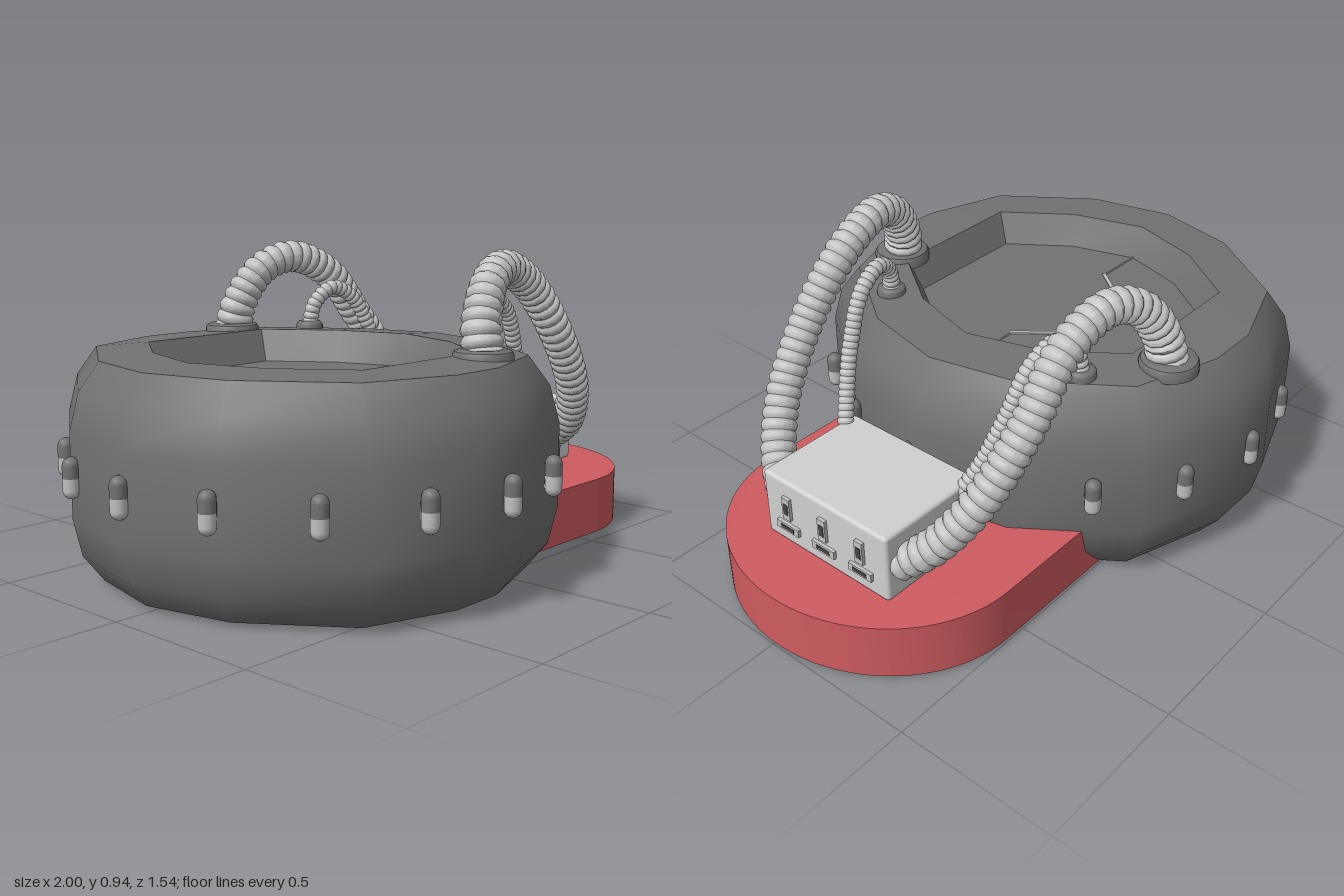
import * as THREE from 'three';
import { toCreasedNormals } from 'three/addons/utils/BufferGeometryUtils.js';
import { RoundedBoxGeometry } from 'three/addons/geometries/RoundedBoxGeometry.js';

const material = (name, color) => {
  const m = new THREE.MeshStandardMaterial({ color });
  m.name = name;
  return m;
};

const CX = -0.27, CZ = -0.016; // drum axis
const MID_Z = -0.04;           // mirror plane of hoses and box

// Full 14-point loop from a quarter of its corners
function mirrorLoop(q) {
  const half = [...q, ...q.slice().reverse().map(([x, z]) => [-x, z])];
  return [...half, ...half.slice(1, -1).reverse().map(([x, z]) => [x, -z])];
}

// Drum skin lofted through rings of [y, scale, loop]
function loft(rings) {
  const pos = [], index = [], n = rings[0][2].length;
  for (const [y, s, loop] of rings) {
    for (const [x, z] of loop) pos.push(x * s, y, z * s);
  }
  for (let j = 0; j < rings.length - 1; j++) {
    for (let i = 0; i < n; i++) {
      const k = (i + 1) % n;
      const a = j * n + i, b = j * n + k, c = a + n, d = b + n;
      if (rings[j][1] > 0) index.push(a, c, b);
      if (rings[j + 1][1] > 0) index.push(b, c, d);
    }
  }
  // close fans onto a centre point
  const last = (rings.length - 2) * n;
  for (let i = 0; i < n; i++) index.push(last + i, last + n + i, last + (i + 1) % n);
  const g = new THREE.BufferGeometry();
  g.setAttribute('position', new THREE.Float32BufferAttribute(pos, 3));
  g.setIndex(index);
  return toCreasedNormals(g, 0.8);
}

// Corrugated hose: a tube whose radius pulses along its length
function hoseGeometry(points, radius, rings, flare) {
  const curve = new THREE.CatmullRomCurve3(points.map(p => new THREE.Vector3(...p)));
  const steps = rings * 4, sides = 12;
  const g = new THREE.TubeGeometry(curve, steps, radius, sides);
  const p = g.attributes.position, v = new THREE.Vector3(), c = new THREE.Vector3();
  const pulse = [0.87, 1, 1.04, 1];
  for (let i = 0; i <= steps; i++) {
    curve.getPointAt(i / steps, c);
    const s = pulse[i % 4] * (1 + flare * Math.max(0, 1 - i / steps * 5));
    for (let j = 0; j <= sides; j++) {
      const k = i * (sides + 1) + j;
      v.fromBufferAttribute(p, k).sub(c).multiplyScalar(s).add(c);
      p.setXYZ(k, v.x, v.y, v.z);
    }
  }
  return toCreasedNormals(g, 0.6);
}

export function createModel() {
  const grey = material('drum grey', 0x727272);
  const red = material('base red', 0xcf5c60);
  const pale = material('box pale grey', 0xd0d0d0);
  const silver = material('hose silver', 0xc2c2c2);
  const dark = material('socket dark grey', 0x454545);

  const model = new THREE.Group();
  const add = (name, geometry, mat, x = 0, y = 0, z = 0, parent = model) => {
    const mesh = new THREE.Mesh(geometry, mat);
    mesh.name = name;
    mesh.position.set(x, y, z);
    parent.add(mesh);
    return mesh;
  };

  // Faceted drum with a sunken top
  const outer = mirrorLoop([[0.7, 0], [0.63, 0.305], [0.405, 0.625], [0.1, 0.73]]);
  const inner = mirrorLoop([[0.455, 0], [0.385, 0.235], [0.235, 0.445], [0.075, 0.445]]);
  add('drum', loft([
    [0, 0, outer], [0, 0.8, outer], [0.012, 0.88, outer], [0.09, 0.965, outer],
    [0.2, 1, outer], [0.45, 1, outer], [0.56, 0.96, outer], [0.645, 0.875, outer],
    [0.655, 1, inner], [0.555, 0.9, inner], [0.555, 0, inner],
  ]), grey, CX, 0, CZ);

  // Bent seam across the sunken floor
  const seam = [[-0.68, -0.016], [-0.515, -0.016], [-0.42, -0.138],
    [-0.125, -0.138], [-0.03, -0.016], [0.13, -0.016]];
  for (let i = 0; i < seam.length - 1; i++) {
    const [x0, z0] = seam[i], [x1, z1] = seam[i + 1];
    const w = i === 0 || i === 4 ? 0.004 : 0.012;
    const strip = add('floorSeam',
      new THREE.BoxGeometry(Math.hypot(x1 - x0, z1 - z0) + w, 0.006, w),
      silver, (x0 + x1) / 2, 0.557, (z0 + z1) / 2);
    strip.rotation.y = -Math.atan2(z1 - z0, x1 - x0);
  }

  // Ring of two-tone studs
  const R = 0.025;
  const dome = [];
  for (let i = 0; i <= 5; i++) {
    const a = i / 5 * Math.PI / 2;
    dome.push(new THREE.Vector2(Math.sin(a) * R, -0.035 - Math.cos(a) * R));
  }
  dome.push(new THREE.Vector2(R, 0));
  const studHalf = new THREE.LatheGeometry(dome, 12);
  for (let i = 0; i < 16; i++) {
    const a = i / 16 * Math.PI * 2;
    const stud = new THREE.Group();
    stud.name = 'stud';
    stud.position.set(CX + Math.cos(a) * 0.704, 0.328, -0.005 + Math.sin(a) * 0.745);
    add('studBottom', studHalf, silver, 0, 0, 0, stud);
    add('studTop', studHalf, grey, 0, 0, 0, stud).rotation.x = Math.PI;
    model.add(stud);
  }

  // Red base with a rounded outer end
  const outline = new THREE.Shape();
  outline.moveTo(0, -0.483);
  outline.lineTo(0.57, -0.483);
  outline.absellipse(0.57, 0, 0.43, 0.483, -Math.PI / 2, Math.PI / 2, false);
  outline.lineTo(0, 0.483);
  const baseGeometry = new THREE.ExtrudeGeometry(outline,
    { depth: 0.175, bevelEnabled: false, curveSegments: 32 });
  baseGeometry.rotateX(-Math.PI / 2);
  add('base', toCreasedNormals(baseGeometry, 0.6), red, 0, 0.01, -0.016);

  // Control box and its sockets
  add('controlBox', new RoundedBoxGeometry(0.365, 0.22, 0.485, 2, 0.012),
    pale, 0.627, 0.295, -0.0375);
  const socket = (y, z, h, w) => {
    add('socketFrame', new THREE.BoxGeometry(0.014, h, w), silver, 0.813, y, z);
    add('socketSlot', new THREE.BoxGeometry(0.004, h * 0.5, w * 0.6), dark, 0.8195, y, z);
  };
  for (const z of [0.108, -0.037, -0.182]) {
    socket(0.315, z, 0.075, 0.03);
    socket(0.247, z, 0.026, 0.088);
  }

  // Hoses from the drum top into the box, mirrored front to back
  const bigPath = [[-0.07, 0.64, 0.485], [-0.055, 0.74, 0.465], [0.02, 0.85, 0.435],
    [0.13, 0.888, 0.405], [0.29, 0.825, 0.385], [0.45, 0.655, 0.385],
    [0.6, 0.475, 0.345], [0.7, 0.345, 0.265], [0.755, 0.28, 0.18]];
  const smallPath = [[0.14, 0.64, 0.33], [0.155, 0.73, 0.32], [0.22, 0.783, 0.3],
    [0.31, 0.74, 0.285], [0.39, 0.6, 0.262], [0.45, 0.47, 0.228], [0.5, 0.375, 0.19]];
  const flange = r => new THREE.LatheGeometry([[0, 0.022], [r * 0.75, 0.022],
    [r * 0.94, 0.016], [r, 0.006], [r, -0.02]].reverse()
    .map(p => new THREE.Vector2(...p)), 24);
  for (const [side, label] of [[1, 'front'], [-1, 'back']]) {
    const place = path => path.map(([x, y, z]) => [x, y, MID_Z + side * (z - MID_Z)]);
    for (const [size, path, radius, rings, flare, rim] of [
      ['BigHose', bigPath, 0.053, 38, 0.18, 0.088],
      ['SmallHose', smallPath, 0.025, 34, 0.1, 0.045],
    ]) {
      const pts = place(path);
      add(label + size, hoseGeometry(pts, radius, rings, flare), silver);
      add(label + size + 'Flange', toCreasedNormals(flange(rim), 0.7), grey,
        pts[0][0], 0.652, pts[0][2]);
    }
  }
  return model;
}
